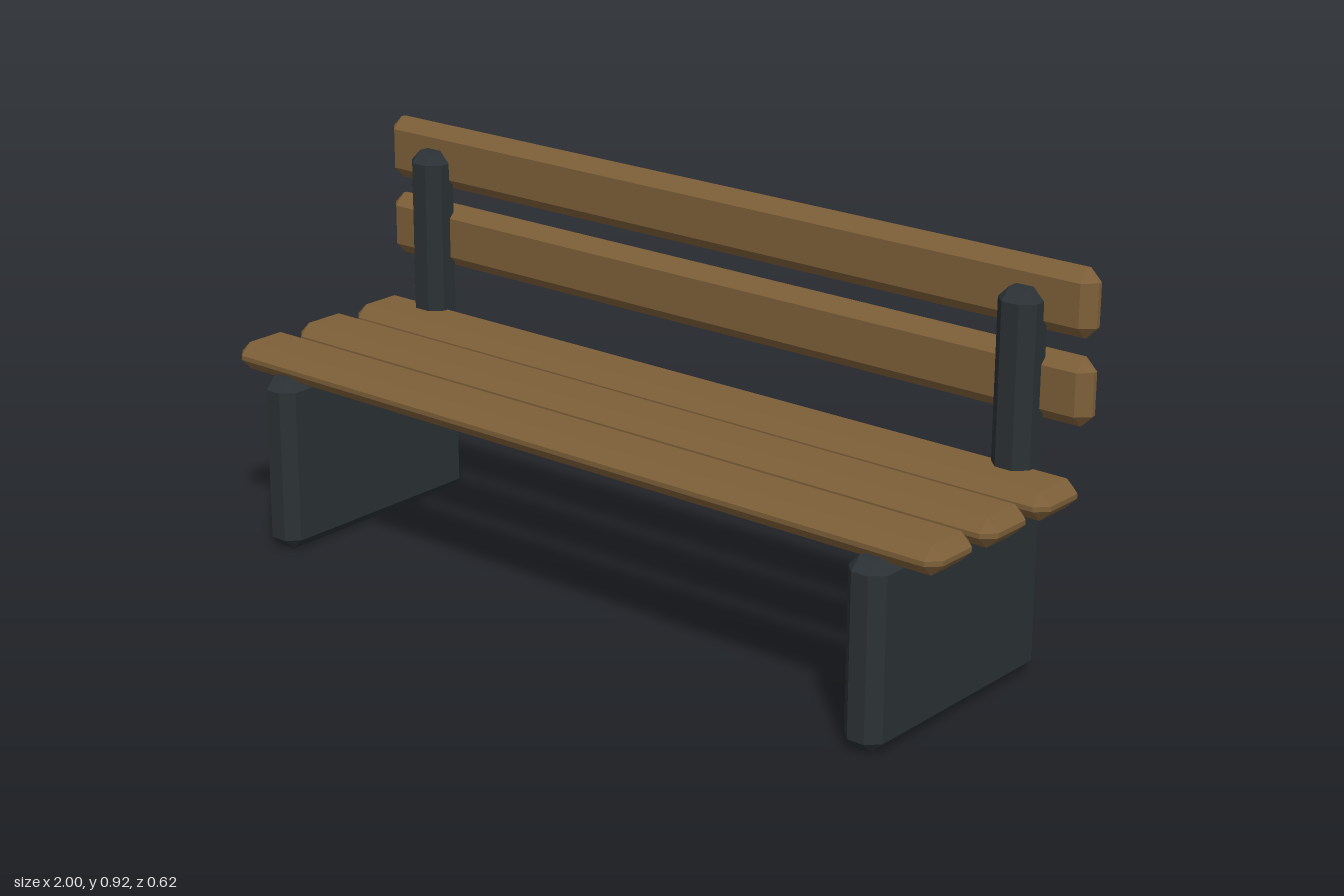
import * as THREE from 'three';
import { ConvexGeometry } from 'three/addons/geometries/ConvexGeometry.js';

const CHAMFER = 0.027;
const wood = new THREE.MeshStandardMaterial({ color: 0x7d5f39, flatShading: true });
const metal = new THREE.MeshStandardMaterial({ color: 0x2b3135, flatShading: true });

// Box with every edge and corner cut, given by its [min, max] ranges
function chamferedBox(name, material, xr, yr, zr) {
  const ranges = [xr, yr, zr];
  const half = ranges.map(([a, b]) => (b - a) / 2);
  const points = [];
  for (let axis = 0; axis < 3; axis++) {
    for (const sx of [-1, 1]) for (const sy of [-1, 1]) for (const sz of [-1, 1]) {
      const p = [sx, sy, sz].map((s, i) => s * (half[i] - (i === axis ? 0 : CHAMFER)));
      points.push(new THREE.Vector3(...p));
    }
  }
  const mesh = new THREE.Mesh(new ConvexGeometry(points), material);
  mesh.name = name;
  mesh.position.set(...ranges.map(([a, b]) => (a + b) / 2));
  return mesh;
}

export function createModel() {
  const bench = new THREE.Group();
  bench.name = 'bench';

  // Seat slats, front to back
  [0.204, 0.0135, -0.178].forEach((z, i) => {
    bench.add(chamferedBox(`seatSlat${i + 1}`, wood, [-1, 1], [0.407, 0.472], [z - 0.076, z + 0.076]));
  });

  // Backrest slats, lower then upper
  [0.649, 0.84].forEach((y, i) => {
    bench.add(chamferedBox(`backSlat${i + 1}`, wood, [-1, 1], [y - 0.075, y + 0.075], [-0.306, -0.241]));
  });

  // End supports: a wide leg panel with a post rising at its back
  for (const side of [-1, 1]) {
    const support = new THREE.Group();
    support.name = side > 0 ? 'leftSupport' : 'rightSupport';
    const x = [side * 0.841 - 0.048, side * 0.841 + 0.048];
    support.add(
      chamferedBox('legPanel', metal, x, [0, 0.42], [-0.282, 0.309]),
      chamferedBox('backPost', metal, x, [0.3, 0.86], [-0.282, -0.188]),
    );
    bench.add(support);
  }
  return bench;
}
